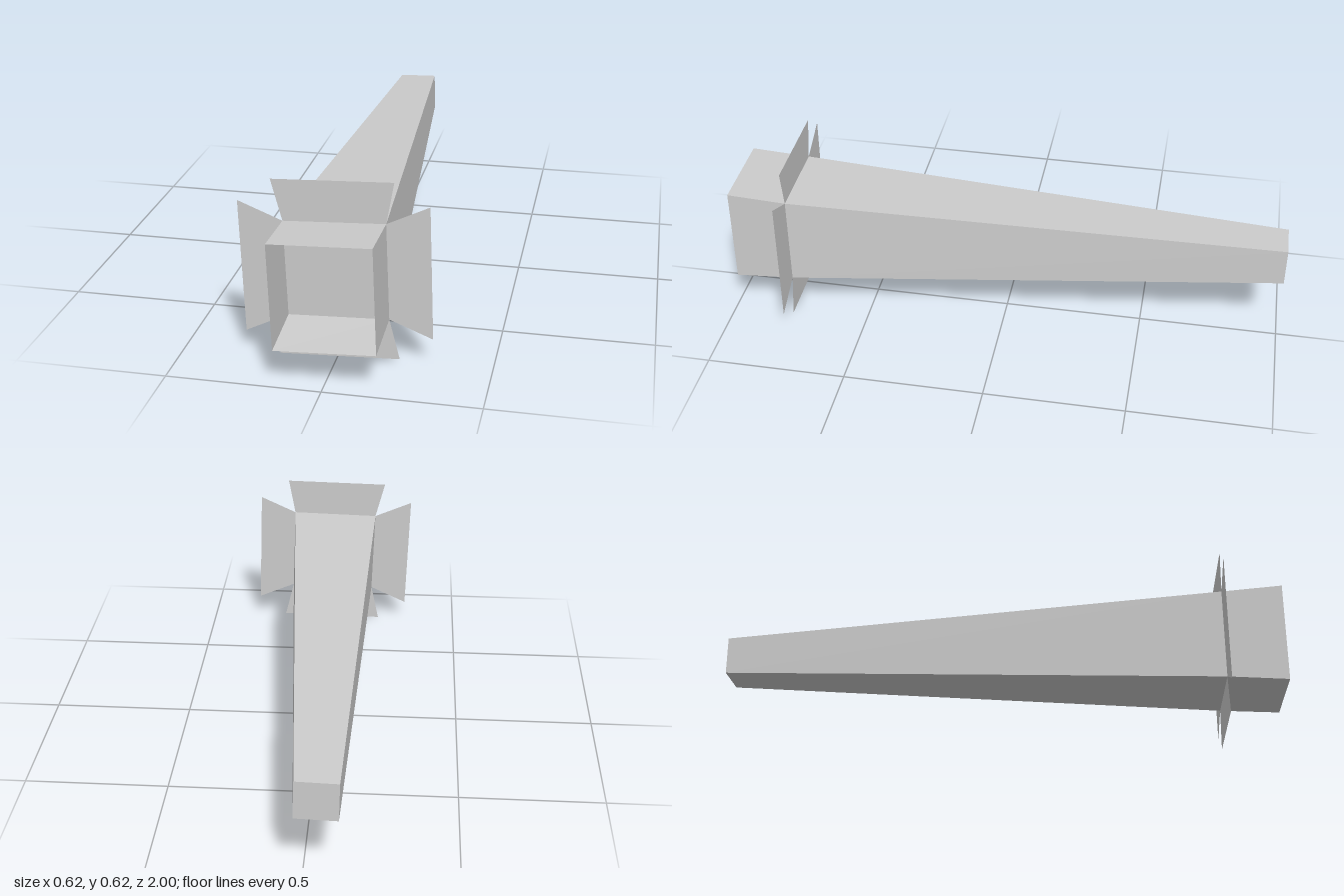
import * as THREE from 'three';

const grey = new THREE.MeshStandardMaterial({ color: 0xcccccc, side: THREE.DoubleSide, flatShading: true });
grey.name = 'plain grey';

// Cross-sections as corners [x, y]: top left, bottom left, bottom right, top right
const YAW = -0.03; // the whole piece is turned slightly
const section = (z, corners, yaw = YAW) =>
  corners.map(([x, y]) => new THREE.Vector3(x, y, z + yaw * x));

const mouth = section(0.992, [[-0.163, 0.482], [-0.152, 0.126], [0.17, 0.137], [0.16, 0.491]]);
const collar = section(0.78, [[-0.167, 0.467], [-0.156, 0.143], [0.169, 0.152], [0.159, 0.479]]);
const tip = section(-1, [[-0.12, 0.389], [-0.117, 0.253], [0.024, 0.257], [0.02, 0.393]], 0);
// Outer edges of the flaps, in the same order as the collar sides: left, bottom, right, top
const flapEdges = [
  section(0.78, [[-0.31, 0.527], [-0.296, 0.075]]),
  section(0.78, [[-0.186, 0.001], [0.203, 0.013]]),
  section(0.78, [[0.309, 0.093], [0.295, 0.544]]),
  section(0.78, [[0.184, 0.617], [-0.203, 0.605]]),
];

// Mesh of four-cornered faces, corners counter-clockwise from outside
function quadMesh(name, quads) {
  const points = quads.flatMap(([a, b, c, d]) => [a, b, c, a, c, d]);
  const geometry = new THREE.BufferGeometry().setFromPoints(points);
  geometry.computeVertexNormals();
  const mesh = new THREE.Mesh(geometry, grey);
  mesh.name = name;
  return mesh;
}

// Four walls joining a front section to the one behind it
const walls = (front, back) => front.map((p, i) => {
  const j = (i + 1) % 4;
  return [p, back[i], back[j], front[j]];
});

export function createModel() {
  const group = new THREE.Group();
  group.name = 'flaredTaperedBox';

  // Open box at the front, with the panel at its bottom
  group.add(quadMesh('openMouth', walls(mouth, collar)));
  group.add(quadMesh('recessedPanel', [collar]));

  // Long tapering body with a closed end
  group.add(quadMesh('taperedBody', [...walls(collar, tip), [...tip].reverse()]));

  // Flat flaps spreading from the collar
  ['left', 'bottom', 'right', 'top'].forEach((_, i) => {
    const [a, b] = flapEdges[i];
    const name = ['rightFlap', 'bottomFlap', 'leftFlap', 'topFlap'][i];
    group.add(quadMesh(name, [[collar[i], a, b, collar[(i + 1) % 4]]]));
  });

  return group;
}
